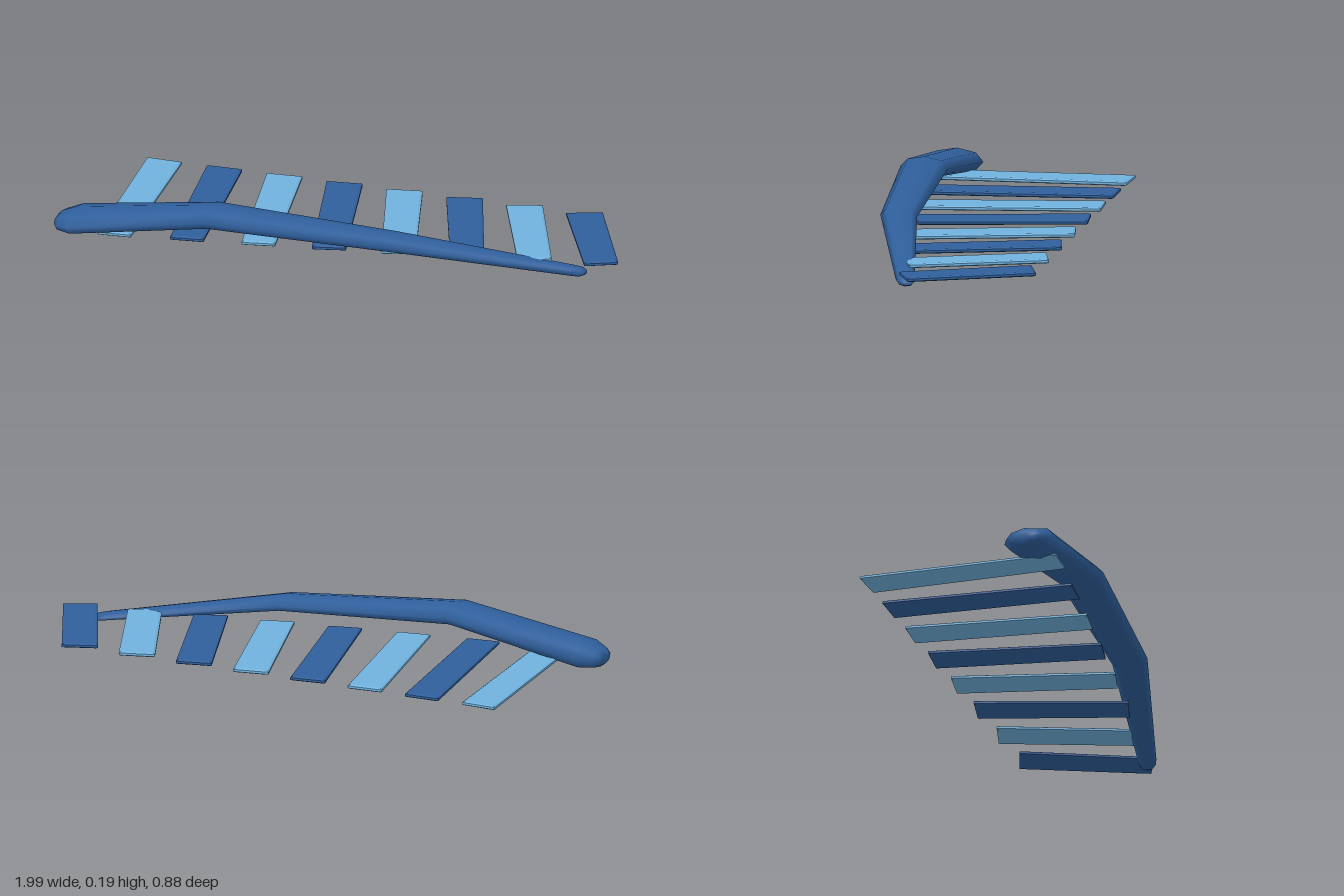
import * as THREE from 'three';

const darkBlue = new THREE.MeshStandardMaterial({ color: 0x2f5f9c });
darkBlue.name = 'darkBlue';
const lightBlue = new THREE.MeshStandardMaterial({ color: 0x70b2de });
lightBlue.name = 'lightBlue';

// Loft through elliptical rings [x, centreY, centreZ, radiusY, radiusZ], running toward +x
function loft(rings, sides) {
  const pos = [], index = [];
  const row = sides;
  for (const [x, y, z, ry, rz] of rings) {
    for (let j = 0; j < sides; j++) {
      const a = (j / sides) * Math.PI * 2;
      pos.push(x, y + Math.cos(a) * ry, z + Math.sin(a) * rz);
    }
  }
  for (let i = 0; i < rings.length - 1; i++) {
    for (let j = 0; j < sides; j++) {
      const k = (j + 1) % sides;
      const a = i * row + j, b = i * row + k, c = a + row, d = b + row;
      index.push(a, b, c, b, d, c);
    }
  }
  // End fans
  const last = (rings.length - 1) * row;
  for (let j = 1; j < sides - 1; j++) {
    index.push(0, j + 1, j);
    index.push(last, last + j, last + j + 1);
  }
  const g = new THREE.BufferGeometry();
  g.setAttribute('position', new THREE.Float32BufferAttribute(pos, 3));
  g.setIndex(index);
  g.computeVertexNormals();
  return g;
}

// Flat blade with chamfered rim; outer tip at z = 0, root at z = length
function featherGeometry(length) {
  const bevel = 0.008, tip = 0.065 - bevel, root = 0.061 - bevel;
  const shape = new THREE.Shape();
  shape.moveTo(-tip, bevel - 0.006);
  shape.lineTo(tip, bevel + 0.006);
  shape.lineTo(root, length - bevel);
  shape.lineTo(-root, length - bevel);
  shape.closePath();
  const g = new THREE.ExtrudeGeometry(shape, {
    depth: 0.008, bevelEnabled: true, bevelSize: bevel, bevelThickness: 0.004, bevelSegments: 1,
  });
  g.translate(0, 0, -0.004);
  g.rotateX(Math.PI / 2);
  return g;
}

export function createModel() {
  const wing = new THREE.Group();
  wing.name = 'wing';

  // Tapering, bent arm along the leading edge with rounded ends
  const arm = new THREE.Mesh(loft([
    [-1.0, 0.062, 0.342, 0.018, 0.04],
    [-0.985, 0.065, 0.34, 0.032, 0.07],
    [-0.93, 0.074, 0.338, 0.046, 0.098],
    [-0.42, 0.154, 0.312, 0.04, 0.088],
    [0.23, 0.117, 0.219, 0.03, 0.068],
    [0.84, 0.024, 0.02, 0.016, 0.035],
    [0.87, 0.019, 0.01, 0.015, 0.03],
    [0.885, 0.017, 0.006, 0.008, 0.015],
  ], 8), darkBlue);
  arm.name = 'wingArm';
  wing.add(arm);

  // Feathers fan out and shorten toward the wing tip
  for (let i = 0; i < 8; i++) {
    const feather = new THREE.Mesh(
      featherGeometry(0.717 - 0.0344 * i), i % 2 ? darkBlue : lightBlue);
    feather.name = 'feather' + (i + 1);
    feather.position.set(-0.86 + 0.2243 * i, 0.054, -0.326 - 0.0133 * i);
    feather.rotation.y = THREE.MathUtils.degToRad(7.4 + 3.1 * i);
    wing.add(feather);
  }
  return wing;
}
